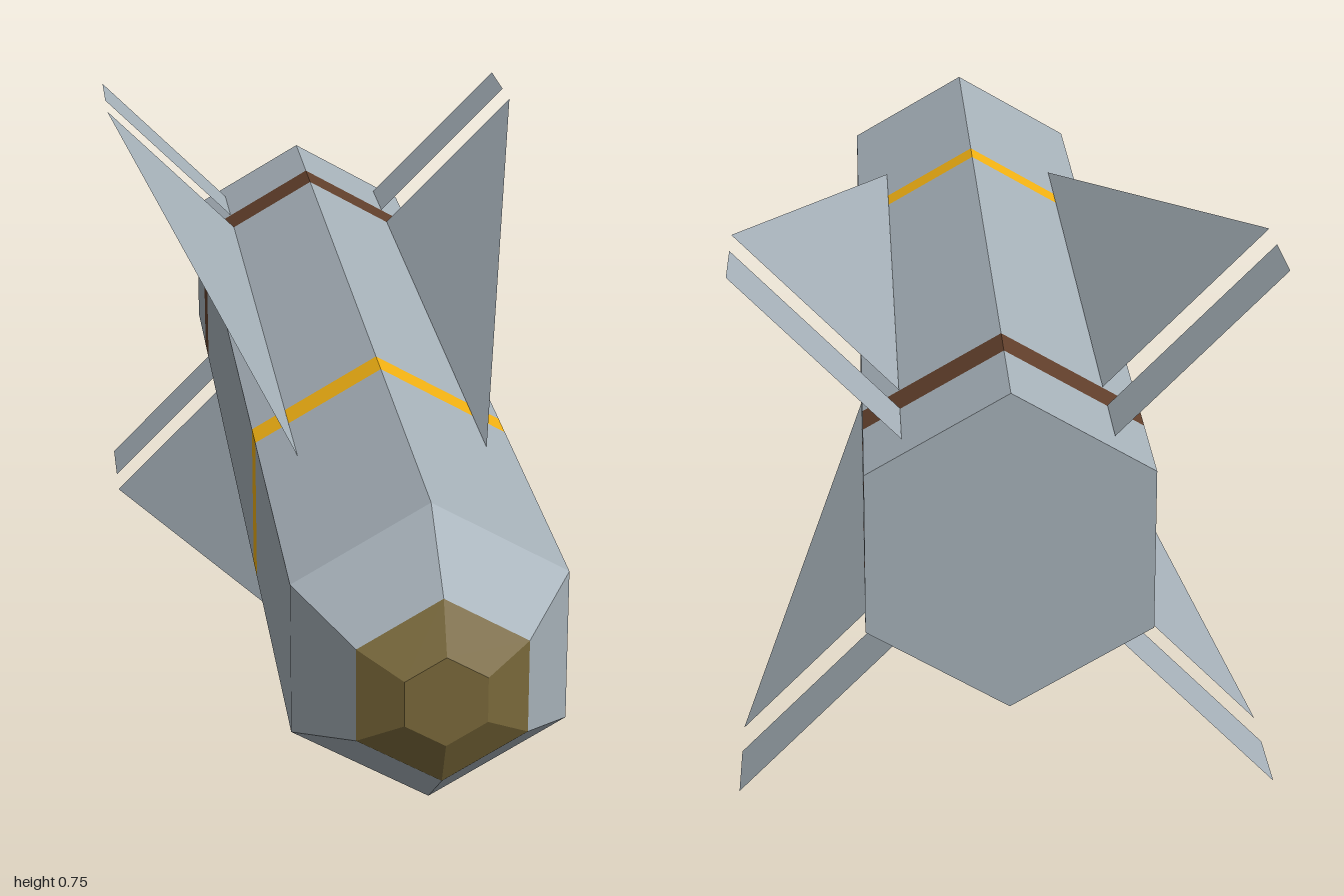
import * as THREE from 'three';

const SIDES = 6;
const AXIS_Y = 0.375;

function material(color, side = THREE.FrontSide) {
  return new THREE.MeshStandardMaterial({ color, flatShading: true, side });
}

export function createModel() {
  const model = new THREE.Group();
  model.name = 'missile';
  const grey = material(0xa7b2ba);
  const finGrey = material(0xa7b2ba, THREE.DoubleSide);
  const yellow = material(0xf2b113);
  const brown = material(0x613f2b);
  const olive = material(0x7a693a);

  function add(name, geometry, mat, z = 0) {
    const mesh = new THREE.Mesh(geometry, mat);
    mesh.name = name;
    mesh.position.set(0, AXIS_Y, z);
    model.add(mesh);
    return mesh;
  }

  // Hexagonal tube sections along z: name, back z, front z, back radius, front radius
  const R = 0.2255;
  const sections = [
    ['tailSection', -1, -0.82, R, R, grey],
    ['brownBand', -0.82, -0.743, R, R, brown],
    ['mainBody', -0.743, 0.236, R, R, grey],
    ['yellowBand', 0.236, 0.295, R, R, yellow],
    ['frontBody', 0.295, 0.84, R, R, grey],
    ['noseCone', 0.84, 0.965, R, 0.137, grey],
    ['seekerTip', 0.965, 1, 0.137, 0.066, olive],
  ];
  for (const [name, z0, z1, r0, r1, mat] of sections) {
    const tube = new THREE.CylinderGeometry(r1, r0, z1 - z0, SIDES, 1, true).rotateX(Math.PI / 2);
    add(name, tube, mat, (z0 + z1) / 2);
  }

  // Flat end caps
  add('seekerCap', new THREE.CircleGeometry(0.066, SIDES, Math.PI / 2), olive, 1);
  add('tailCap', new THREE.CircleGeometry(R, SIDES, Math.PI / 2).rotateY(Math.PI), grey, -1);

  // Thin fins: outline given as (distance from axis, z)
  const ROOT = 0.203, TIP = 0.527;
  const finGeometry = (points) =>
    new THREE.ShapeGeometry(new THREE.Shape(points.map(([r, z]) => new THREE.Vector2(r, z))))
      .rotateX(Math.PI / 2);
  const wing = finGeometry([[ROOT, 0.435], [ROOT, -0.742], [TIP, -0.742]]);
  const tailFin = finGeometry([[ROOT, -0.82], [ROOT, -0.945], [TIP, -0.945], [TIP, -0.82]]);

  // Four of each, in an X arrangement
  for (let i = 0; i < 4; i++) {
    const angle = Math.PI / 4 + (i * Math.PI) / 2;
    add('wing' + (i + 1), wing, finGrey).rotation.z = angle;
    add('tailFin' + (i + 1), tailFin, finGrey).rotation.z = angle;
  }
  return model;
}
